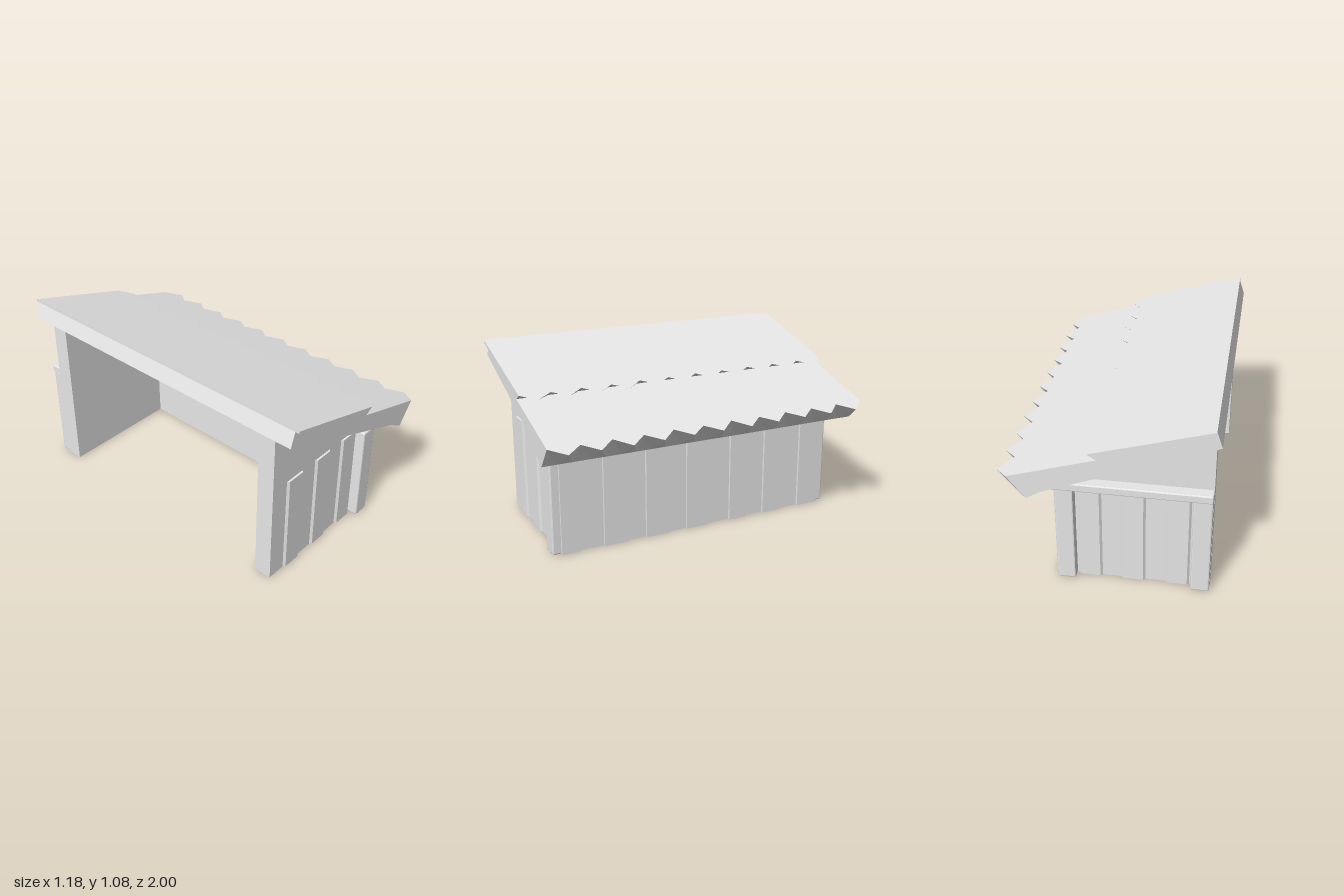
import * as THREE from 'three';
import { RoundedBoxGeometry } from 'three/addons/geometries/RoundedBoxGeometry.js';

const grey = new THREE.MeshStandardMaterial({ color: 0xe7e7e7 });
grey.name = 'pale grey';
grey.flatShading = true;

function add(parent, name, geometry) {
  const mesh = new THREE.Mesh(geometry, grey);
  mesh.name = name;
  parent.add(mesh);
  return mesh;
}

// Box given by its extents
function block(parent, name, x0, x1, y0, y1, z0, z1, bevel = 0) {
  const size = [x1 - x0, y1 - y0, z1 - z0];
  const geo = bevel ? new RoundedBoxGeometry(...size, 1, bevel) : new THREE.BoxGeometry(...size);
  geo.translate((x0 + x1) / 2, (y0 + y1) / 2, (z0 + z1) / 2);
  return add(parent, name, geo);
}

// Side profile in x, y stretched from z0 to z1
function slab(parent, name, points, z0, z1) {
  const shape = new THREE.Shape(points.map(p => new THREE.Vector2(...p)));
  const geo = new THREE.ExtrudeGeometry(shape, { depth: z1 - z0, bevelEnabled: false });
  geo.translate(0, 0, z0);
  return add(parent, name, geo);
}

// Upright board with sloped side edges, raised towards local +z
function board(parent, name, x, z, width, depth, slope, turn) {
  const w = width / 2;
  const shape = new THREE.Shape([
    new THREE.Vector2(-w, 0), new THREE.Vector2(-w + slope, -depth),
    new THREE.Vector2(w - slope, -depth), new THREE.Vector2(w, 0),
  ]);
  const geo = new THREE.ExtrudeGeometry(shape, { depth: 0.615, bevelEnabled: false });
  geo.rotateX(-Math.PI / 2);
  const mesh = add(parent, name, geo);
  mesh.rotation.y = turn;
  mesh.position.set(x, 0, z);
}

// Two layers of thatch, lofted along z with toothed lower edges
function thatchGeometry() {
  const teeth = 11, sections = [];
  for (let i = 0; i <= teeth * 2; i++) {
    const z = -1 + i / teeth;
    const t = i % 2 ? 0.96 + 0.04 * Math.sin(i * 2.3) : 0.04 * Math.sin(i * 1.7);
    sections.push([
      [-0.565, 1.065], [-0.08, 0.88], [0.41, 0.585],
      [0.51 + 0.077 * t, 0.712 - 0.0237 * t],
      [0.03, 0.86],
      [0.08 + 0.065 * t, 0.89 - 0.0191 * t],
      [-0.565, 1.08],
    ].map(([x, y]) => [x, y, z]));
  }
  const pos = [], n = sections[0].length;
  const tri = (...corners) => corners.forEach(c => pos.push(...c));
  for (let s = 0; s < sections.length - 1; s++) {
    const a = sections[s], b = sections[s + 1];
    for (let j = 0; j < n; j++) {
      const k = (j + 1) % n;
      tri(a[j], a[k], b[k]);
      tri(a[j], b[k], b[j]);
    }
  }
  // End caps
  const first = sections[0], last = sections[sections.length - 1];
  const outline = first.map(p => new THREE.Vector2(p[0], p[1]));
  for (const [i, j, k] of THREE.ShapeUtils.triangulateShape(outline, [])) {
    tri(last[i], last[j], last[k]);
    tri(first[k], first[j], first[i]);
  }
  const geo = new THREE.BufferGeometry();
  geo.setAttribute('position', new THREE.Float32BufferAttribute(pos, 3));
  geo.computeVertexNormals();
  return geo;
}

export function createModel() {
  const model = new THREE.Group();
  model.name = 'shed';

  // Roof
  const roof = new THREE.Group();
  roof.name = 'roof';
  model.add(roof);
  add(roof, 'thatch', thatchGeometry());
  slab(roof, 'roofDeck', [[-0.595, 0.977], [0.41, 0.586], [-0.08, 0.88], [-0.565, 1.066]], -0.975, 0.975);

  // Walls, open on the high side
  const walls = new THREE.Group();
  walls.name = 'walls';
  model.add(walls);
  const gable = [[-0.563, 0], [0.28, 0], [0.28, 0.637], [-0.563, 0.952]];
  slab(walls, 'frontWall', gable, 0.75, 0.855);
  slab(walls, 'backWall', gable, -0.86, -0.755);
  block(walls, 'eaveWall', 0.18, 0.28, 0, 0.632, -0.857, 0.852);

  // Raised boards on the three walls
  for (const x of [-0.382, -0.137, 0.103]) {
    board(walls, 'frontBoard', x, 0.855, 0.133, 0.012, 0.012, 0);
    board(walls, 'backBoard', x, -0.86, 0.133, 0.012, 0.012, Math.PI);
  }
  const edges = [[0.865, 0.755], [0.605, 0.455], [0.34, 0.19], [0.075, -0.07],
    [-0.22, -0.34], [-0.46, -0.59], [-0.72, -0.865]];
  for (const [a, b] of edges) board(walls, 'eaveBoard', 0.28, (a + b) / 2, a - b, 0.015, 0, Math.PI / 2);

  // Corner posts
  block(walls, 'frontPost', 0.18, 0.28, 0.002, 0.61, 0.84, 0.915, 0.008);
  block(walls, 'backPost', 0.18, 0.28, 0.002, 0.61, -0.915, -0.84, 0.008);
  block(walls, 'backEndPost', -0.562, -0.46, 0.002, 0.61, -0.915, -0.84, 0.008);

  // Rails above the boards
  block(walls, 'eaveRail', 0.27, 0.34, 0.598, 0.634, -0.915, 0.9, 0.006);
  block(walls, 'backRail', -0.562, 0.3, 0.598, 0.645, -0.925, -0.85, 0.006);

  return model;
}
